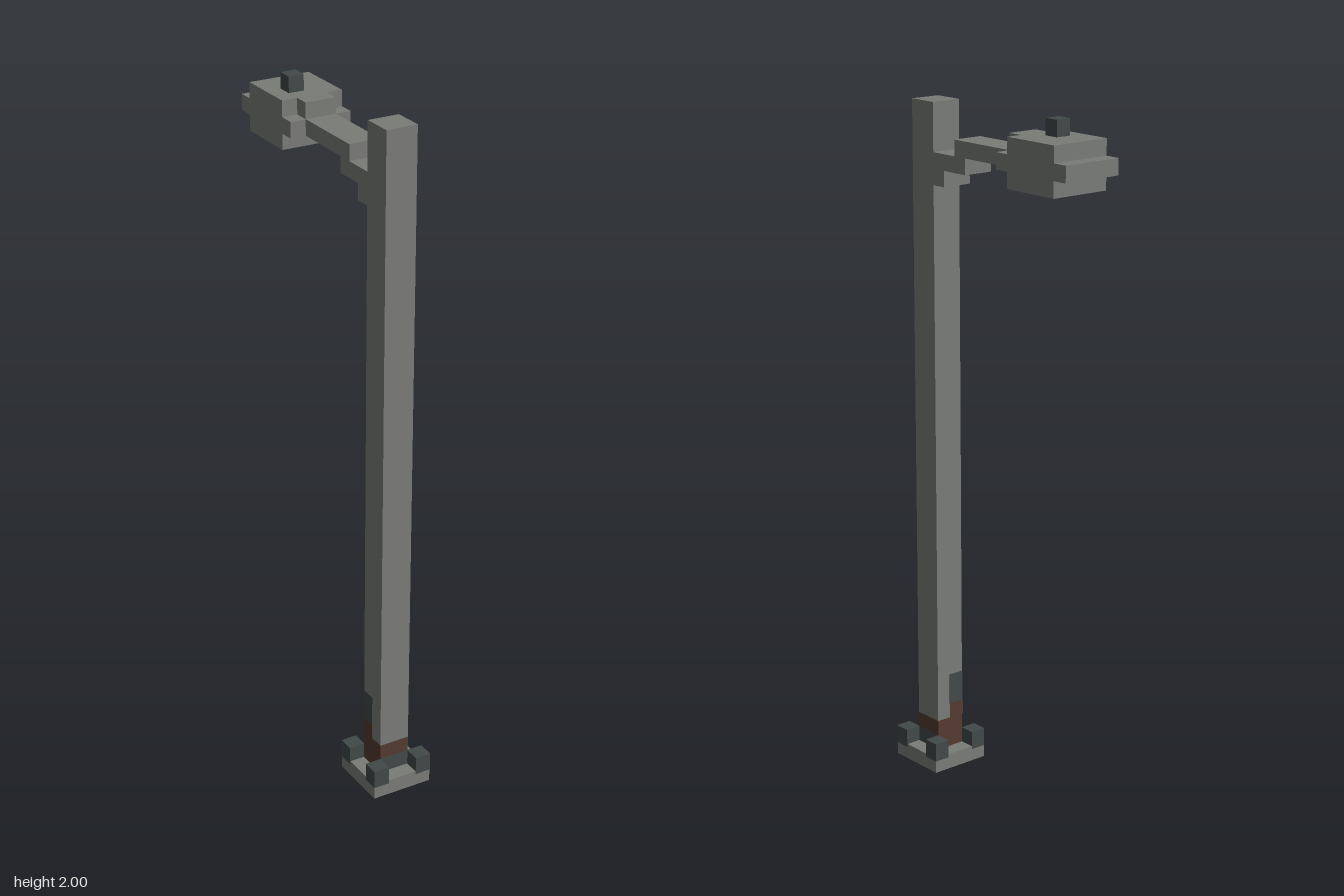
import * as THREE from 'three';

const U = 2 / 43; // one block of the grid

export function createModel() {
  const mat = (name, color) => {
    const m = new THREE.MeshStandardMaterial({ color });
    m.name = name;
    return m;
  };
  const steel = mat('grey steel', 0x797b77);
  const iron = mat('dark iron', 0x414948);
  const rust = mat('brown rust', 0x543a31);

  const model = new THREE.Group();
  model.name = 'streetLamp';

  // Box between two corners in block units; grow swells it slightly for paint layers
  const block = (name, material, [x0, x1], [y0, y1], [z0, z1], parent = model, grow = 0) => {
    const g = new THREE.BoxGeometry((x1 - x0) * U + grow, (y1 - y0) * U, (z1 - z0) * U + grow);
    const mesh = new THREE.Mesh(g, material);
    mesh.position.set((x0 + x1) / 2 * U, (y0 + y1) / 2 * U, (z0 + z1) / 2 * U);
    mesh.name = name;
    parent.add(mesh);
    return mesh;
  };
  const group = (name) => {
    const g = new THREE.Group();
    g.name = name;
    model.add(g);
    return g;
  };

  // Base plate with four corner bolts
  const base = group('base');
  block('basePlate', steel, [-2, 2], [0, 1], [4, 8], base);
  for (const x of [-2, 1]) {
    for (const z of [4, 7]) block('bolt', iron, [x, x + 1], [0.8, 2], [z, z + 1], base, 0.002);
  }

  // Post: weathered foot, rust band, plain shaft
  const post = group('post');
  block('postFoot', [iron, rust, iron, iron, iron, rust], [-1, 1], [1, 2], [5, 7], post);
  block('rustBand', rust, [-1, 1], [2, 3], [5, 7], post);
  block('shaft', steel, [-1, 1], [3, 43], [5, 7], post);

  // Stain climbing the rear corner
  block('rustStain', rust, [-1, 0], [3, 4], [5, 6], post, 0.003);
  block('darkStain', iron, [-1, 0], [4, 6], [5, 6], post, 0.003);

  // Stepped bracket and arm
  const arm = group('arm');
  block('lowerBracket', steel, [-1, 1], [38, 39], [4, 5], arm);
  block('upperBracket', steel, [-1, 1], [39, 40], [2, 5], arm);
  block('armBeam', steel, [-1, 1], [40, 41], [-2, 3], arm);

  // Lamp head with a dark lens underneath
  const head = group('lampHead');
  block('collar', steel, [-2, 2], [40, 41], [-3, -2], head);
  block('collarTop', steel, [-1, 1], [41, 42], [-3, -2], head);
  block('housing', [steel, steel, steel, iron, steel, steel], [-2, 2], [39, 42], [-7, -3], head);
  block('nose', steel, [-2, 2], [40, 41], [-8, -7], head);
  block('lightSensor', iron, [-1, 0], [42, 43], [-5, -4], head);

  return model;
}
